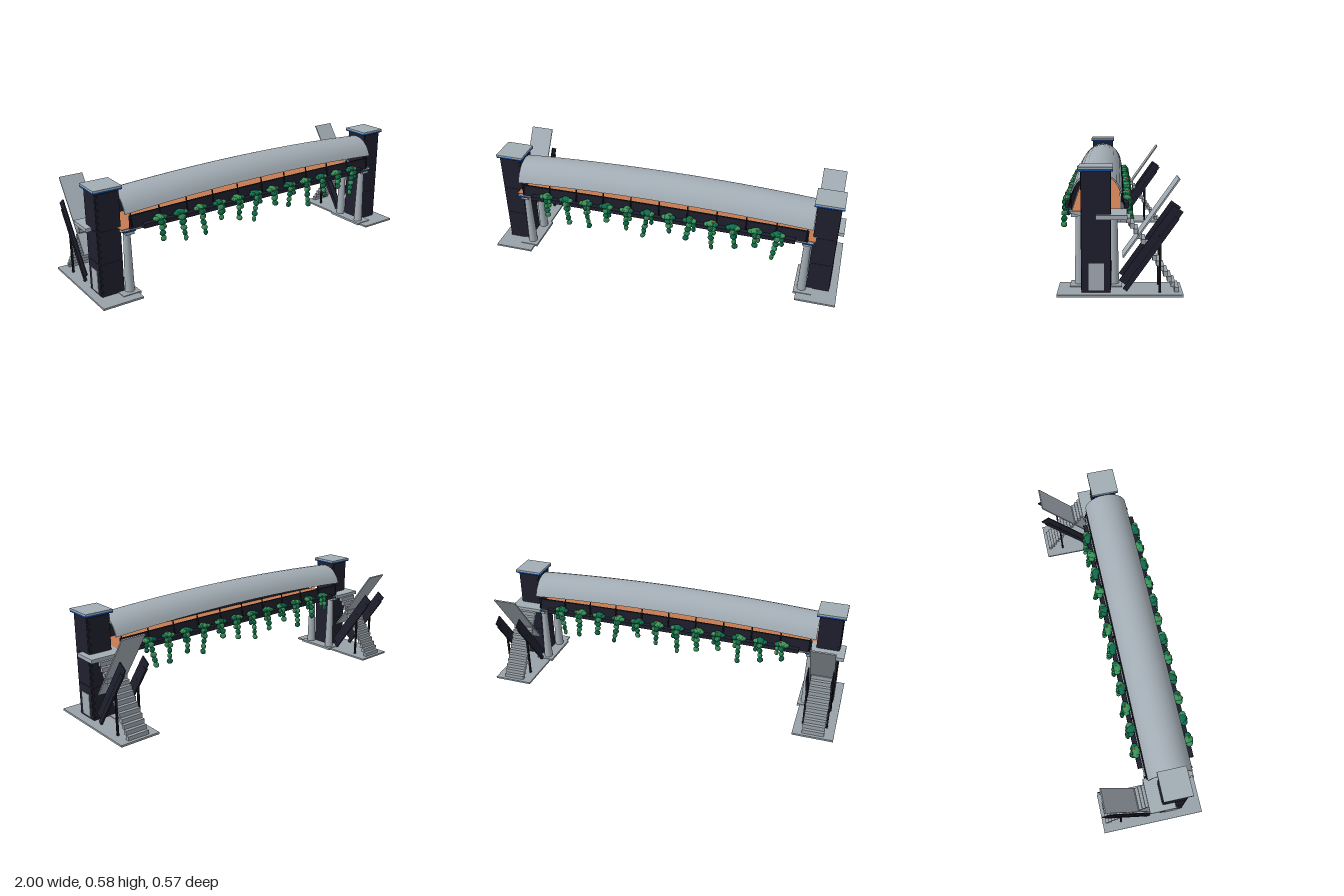
import * as THREE from 'three';
import { toCreasedNormals } from 'three/addons/utils/BufferGeometryUtils.js';

const mat = (name, color, extra = {}) => {
  const m = new THREE.MeshStandardMaterial({ color, ...extra });
  m.name = name;
  return m;
};

export function createModel() {
  const M = {
    dark: mat('dark cladding', 0x1f1f2e),
    black: mat('black steel', 0x17181d),
    grey: mat('light grey metal', 0xa2acb4),
    stone: mat('grey concrete', 0x98a2a9),
    blue: mat('blue trim', 0x0f4a9e),
    floor: mat('terracotta floor', 0xc47a52),
    leafDark: mat('dark leaves', 0x0f6a4c, { flatShading: true }),
    leafLight: mat('light leaves', 0x369258, { flatShading: true }),
    flower: mat('orange flowers', 0xd8642a, { flatShading: true }),
  };
  const ZC = 0.107; // centre line of the bridge
  const model = new THREE.Group();
  model.name = 'footbridge';

  const add = (parent, name, geo, material, x = 0, y = 0, z = 0) => {
    const mesh = new THREE.Mesh(geo, material);
    mesh.name = name;
    mesh.position.set(x, y, z);
    parent.add(mesh);
    return mesh;
  };
  // box given by its limits in y and z, and centre and width in x
  const box = (parent, name, material, x, w, y0, y1, z0, z1) =>
    add(parent, name, new THREE.BoxGeometry(w, y1 - y0, z1 - z0), material, x, (y0 + y1) / 2, (z0 + z1) / 2);
  const sag = (x, amount) => -amount * (x / 0.83) ** 2;
  const camber = (geo, amount) => {
    const p = geo.attributes.position;
    for (let i = 0; i < p.count; i++) p.setY(i, p.getY(i) + sag(p.getX(i), amount));
    geo.computeVertexNormals();
    return geo;
  };
  // cross-section swept along x, with a gentle camber
  const sweep = (points, length, amount) => {
    const shape = new THREE.Shape(points.map(([a, b]) => new THREE.Vector2(a, b)));
    const geo = new THREE.ExtrudeGeometry(shape, { depth: length, steps: 24, bevelEnabled: false });
    geo.translate(0, 0, -length / 2).rotateY(Math.PI / 2);
    return toCreasedNormals(camber(geo, amount), 0.5);
  };
  const rect = (a0, a1, b0, b1) => [[a0, b0], [a1, b0], [a1, b1], [a0, b1]];

  // ---- span: deck, floor, rails, roof ----
  const span = new THREE.Group();
  span.name = 'span';
  span.position.z = ZC;
  model.add(span);
  const DC = 0.008;
  add(span, 'deck', sweep([[-0.075, 0.347], [0.075, 0.347], [0.127, 0.364], [0.127, 0.37], [-0.127, 0.37], [-0.127, 0.364]], 1.68, DC), M.grey);
  add(span, 'walkwayFloor', sweep(rect(-0.112, 0.112, 0.37, 0.374), 1.7, DC), M.floor);
  for (const s of [-1, 1]) {
    const a = s * 0.118;
    add(span, 'railPanel', sweep(rect(a - 0.002, a + 0.002, 0.37, 0.438), 1.62, DC), M.dark);
    add(span, 'handrail', sweep(rect(a - 0.004, a + 0.004, 0.436, 0.442), 1.62, DC), M.black);
    box(span, 'planterTrough', M.dark, 0, 1.49, 0.362, 0.385, s * 0.139 - 0.013, s * 0.139 + 0.013);
  }

  // vaulted roof
  const A0 = 0.31, N = 12;
  const arc = (a, b, from = A0) => Array.from({ length: N + 1 }, (_, i) => {
    const t = from + (Math.PI - 2 * from) * i / N;
    return [a * Math.cos(t), 0.43 + b * Math.sin(t)];
  });
  add(span, 'vaultedRoof', sweep([...arc(0.126, 0.14), ...arc(0.119, 0.133).reverse()], 1.66, 0.028), M.grey);

  // roof ribs running down to the deck edge
  const ribPoints = [[0.13, 0.385], ...arc(0.12, 0.131, 0.2), [-0.13, 0.385]];
  for (let i = -5; i <= 5; i++) {
    const x = i * 0.16;
    const pts = ribPoints.map(([z, y]) => new THREE.Vector3(x, y + sag(x, y > 0.4 ? 0.028 : DC), z));
    add(span, 'roofRib', new THREE.TubeGeometry(new THREE.CatmullRomCurve3(pts), 32, 0.004, 5), M.black);
  }

  // ---- hanging plants ----
  let seed = 7;
  const rnd = () => (seed = (seed * 16807) % 2147483647) / 2147483647;
  const leafGeo = new THREE.IcosahedronGeometry(1, 1);
  const blob = (parent, name, m, x, y, z, rx, ry, rz) => {
    const b = add(parent, name, leafGeo, m, x, y, z);
    b.scale.set(rx, ry, rz);
    b.rotation.y = rnd() * 3;
  };
  const drops = [4, 5, 5, 3, 4, 5, 3, 4, 5, 4, 3, 5];
  for (const s of [-1, 1]) {
    for (let i = 0; i < 12; i++) {
      const x = -0.653 + i * 0.1187;
      const plant = new THREE.Group();
      plant.name = 'hangingPlant';
      plant.position.set(x, 0, ZC);
      span.parent.add(plant);
      const main = i % 2 ? M.leafDark : M.leafLight, other = i % 2 ? M.leafLight : M.leafDark;
      blob(plant, 'leafMound', main, 0, 0.4, s * 0.142, 0.03, 0.015, 0.022);
      blob(plant, 'leafMound', other, 0.022, 0.398, s * 0.147, 0.02, 0.012, 0.018);
      blob(plant, 'leafMound', main, -0.022, 0.396, s * 0.147, 0.02, 0.012, 0.018);
      const n = drops[(i + (s < 0 ? 3 : 0)) % 12], drift = (rnd() - 0.5) * 0.012;
      for (let k = 0; k < n; k++) {
        const r = 0.0155 - k * 0.0007;
        blob(plant, 'trailingLeaves', k % 2 ? main : other, drift * k, 0.376 - k * 0.0285, s * (0.157 + k * 0.002),
          r + 0.004, 0.016, r - 0.001);
      }
      for (let k = 0; k < 2; k++)
        blob(plant, 'shortTrail', main, 0.02 - drift, 0.375 - k * 0.025, s * 0.156, 0.013, 0.014, 0.012);
      if (i % 4 !== 1) blob(plant, 'flower', M.flower, 0.008, 0.412, s * 0.15, 0.005, 0.005, 0.005);
    }
  }

  // ---- end stations, mirrored ----
  for (const s of [-1, 1]) {
    const end = new THREE.Group();
    end.name = s > 0 ? 'leftStation' : 'rightStation';
    model.add(end);
    const X = s * 0.893;

    // ground slab and plinth
    box(end, 'groundSlab', M.stone, s * 0.89, 0.22, 0, 0.01, -0.285, 0.283);
    box(end, 'columnPlinth', M.stone, s * 0.815, 0.1, 0.001, 0.014, -0.012, 0.23);

    // lift tower
    box(end, 'liftTower', M.dark, X, 0.124, 0.01, 0.562, ZC - 0.066, ZC + 0.066);
    for (const [y0, y1] of [[0.018, 0.188], [0.196, 0.36], [0.368, 0.555]]) {
      box(end, 'claddingPanel', M.dark, X + s * 0.062, 0.004, y0, y1, ZC - 0.057, ZC + 0.057);
      for (const d of [-1, 1])
        box(end, 'claddingPanel', M.dark, X, 0.106, y0, y1, ZC + d * 0.066 - 0.002, ZC + d * 0.066 + 0.002);
    }
    box(end, 'liftDoor', M.grey, X + s * 0.064, 0.005, 0.02, 0.145, 0.071, 0.141);
    box(end, 'blueCapTrim', M.blue, X, 0.154, 0.562, 0.571, ZC - 0.077, ZC + 0.077);
    box(end, 'towerCap', M.grey, X, 0.154, 0.571, 0.58, ZC - 0.077, ZC + 0.077);

    // columns and crossbeam
    for (const d of [-1, 1])
      add(end, 'column', new THREE.CylinderGeometry(0.018, 0.025, 0.32, 20), M.grey, s * 0.807, 0.174, ZC + d * 0.079);
    box(end, 'crossbeam', M.grey, s * 0.807, 0.045, 0.333, 0.349, ZC - 0.118, ZC + 0.118);
    for (const d of [-1, 1])
      box(end, 'blueEdgeStrip', M.blue, s * 0.815, 0.07, 0.353, 0.361, ZC + d * 0.127 - 0.003, ZC + d * 0.127 + 0.003);

    // landing and stairs
    box(end, 'landing', M.grey, s * 0.895, 0.185, 0.348, 0.368, -0.033, ZC);
    for (let i = 0; i < 14; i++) {
      const z = -0.039 - i * 0.0168, y = 0.338 - i * 0.0245;
      box(end, 'step', M.stone, s * 0.89, 0.118, Math.max(y - 0.011, 0.01), y + 0.012, z - 0.01, z + 0.01);
    }

    // sloping canopy, side panels, stringers and posts
    const slope = (name, m, x, w, y, h, len) => {
      const b = add(end, name, new THREE.BoxGeometry(w, h, len), m, x, y, -0.14);
      b.rotation.x = 0.957;
    };
    slope('stairCanopy', M.grey, s * 0.89, 0.13, 0.348, 0.007, 0.434);
    for (const d of [-1, 1]) {
      const x = s * 0.89 + d * 0.064;
      slope('stairSidePanel', M.dark, x, 0.006, 0.222, 0.055, 0.42);
      slope('stairStringer', M.dark, x, 0.012, 0.187, 0.022, 0.405);
      box(end, 'stairPost', M.black, x, 0.01, 0.01, 0.274, -0.186, -0.176);
    }
  }
  return model;
}
